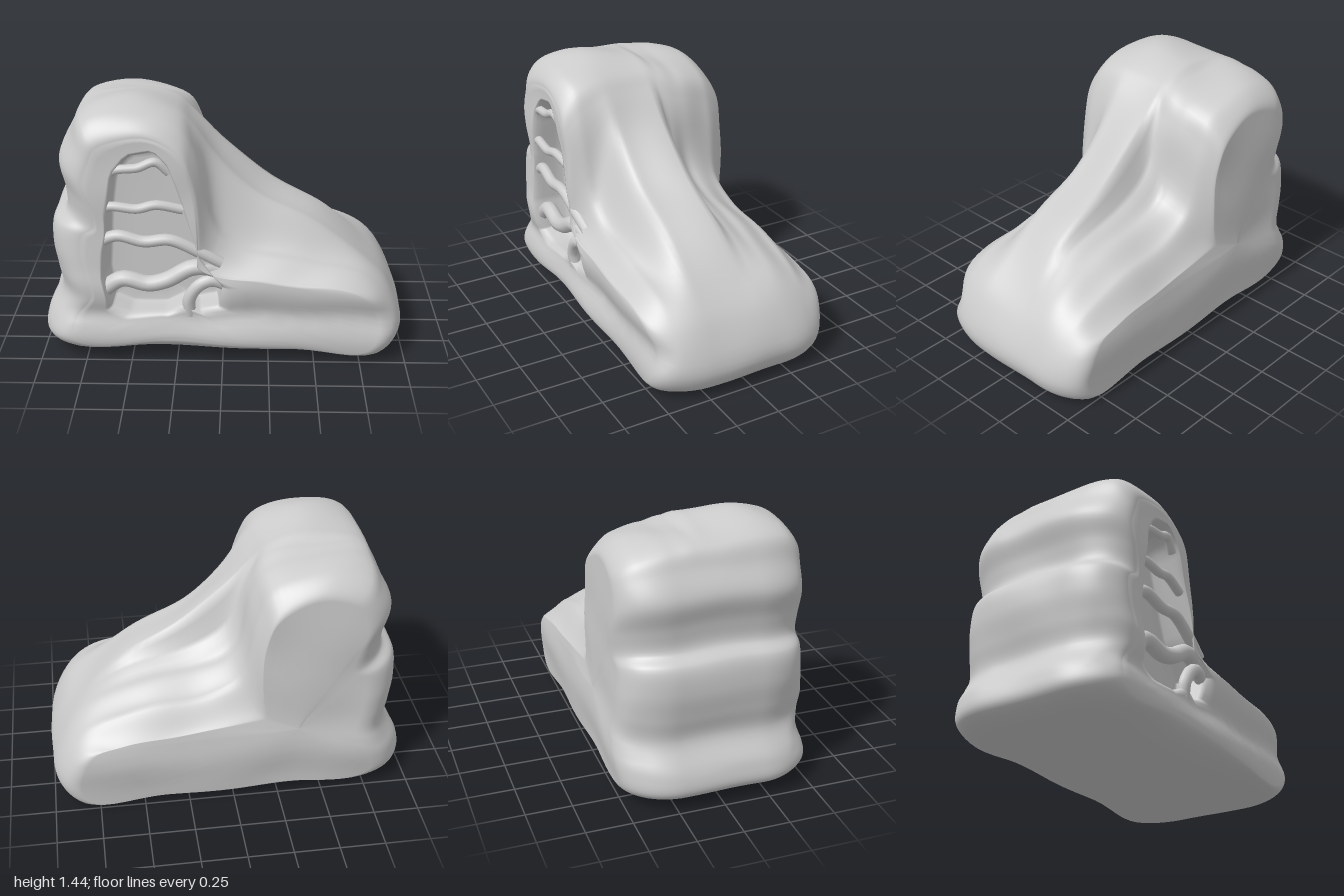
import * as THREE from 'three';

const grey = () => new THREE.MeshStandardMaterial({ color: 0xcccccc, side: THREE.DoubleSide });
const { lerp, smoothstep, clamp } = THREE.MathUtils;

// Side outline, counter-clockwise: sole, toe, (instep and collar go here), heel
const START = [[-0.88, 0.035], [-0.45, 0.03], [0, 0.015], [0.5, 0.025], [0.92, 0.02], [1.0, 0.15], [0.92, 0.37]];
const HEEL = [[-0.82, 1.25], [-0.88, 1.12], [-0.85, 0.97], [-0.85, 0.85], [-0.92, 0.79],
  [-0.94, 0.65], [-0.92, 0.5], [-0.9, 0.36], [-0.98, 0.21], [-0.99, 0.1]];

// Instep and collar points at stations across the width
const KEYS = [
  { z: -0.52, p: [[0.76, 0.41], [0.44, 0.45], [0.12, 0.5], [-0.06, 0.62], [-0.16, 1.08], [-0.24, 1.26], [-0.5, 1.35], [-0.75, 1.31]] },
  { z: -0.38, p: [[0.78, 0.5], [0.48, 0.59], [0.14, 0.65], [-0.04, 0.76], [-0.13, 1.12], [-0.21, 1.29], [-0.5, 1.37], [-0.76, 1.33]] },
  { z: -0.22, p: [[0.78, 0.53], [0.52, 0.65], [0.17, 0.71], [-0.03, 0.81], [-0.12, 1.15], [-0.21, 1.3], [-0.49, 1.37], [-0.76, 1.34]] },
  { z: -0.11, p: [[0.78, 0.53], [0.53, 0.69], [0.19, 0.77], [-0.01, 0.91], [-0.13, 1.19], [-0.22, 1.33], [-0.48, 1.38], [-0.76, 1.35]] },
  { z: -0.05, p: [[0.78, 0.53], [0.54, 0.74], [0.22, 0.92], [0.0, 1.11], [-0.16, 1.28], [-0.25, 1.36], [-0.47, 1.41], [-0.76, 1.35]] },
  { z: 0.22, p: [[0.78, 0.52], [0.53, 0.71], [0.2, 0.89], [-0.01, 1.08], [-0.16, 1.28], [-0.25, 1.37], [-0.47, 1.44], [-0.76, 1.37]] },
  { z: 0.4, p: [[0.77, 0.5], [0.47, 0.58], [0.17, 0.64], [0.0, 0.78], [-0.14, 1.2], [-0.23, 1.35], [-0.47, 1.43], [-0.76, 1.37]] },
  { z: 0.52, p: [[0.76, 0.44], [0.43, 0.48], [0.14, 0.53], [-0.01, 0.65], [-0.15, 1.14], [-0.23, 1.31], [-0.47, 1.41], [-0.76, 1.34]] },
];
const N = 150;
const CENTRE = [-0.35, 0.45];
const HALF = 0.5;

// Outline at depth z, with its rim rounded in towards the sides
function outline(z) {
  let k = 0;
  while (k < KEYS.length - 2 && z > KEYS[k + 1].z) k++;
  const a = KEYS[k], b = KEYS[k + 1], t = smoothstep(z, a.z, b.z);
  const mid = a.p.map((p, i) => [lerp(p[0], b.p[i][0], t), lerp(p[1], b.p[i][1], t)]);
  const curve = new THREE.CatmullRomCurve3(
    [...START, ...mid, ...HEEL].map(([x, y]) => new THREE.Vector3(x, y, 0)), true, 'centripetal');
  const r = 0.28, s = clamp((Math.abs(z) - HALF + r) / r, 0, 1);
  const inset = 1 - Math.sqrt(1 - s * s);
  const heel = z < 0 ? 0.23 : 0.2;
  const sole = z < 0 ? 0.05 : 0.12;
  return Array.from({ length: N }, (_, i) => {
    const p = curve.getPoint(i / N);
    const dx = p.x + 0.2, dy = p.y - 0.5, l = Math.hypot(dx, dy);
    p.x -= lerp(heel, 0.16, smoothstep(p.x, -0.6, -0.2)) * inset * dx / l;
    p.y -= inset * dy / l * (p.y < 0.3 ? sole : 0.13);
    p.z = z;
    return p;
  });
}

// Opening in the front face
const WINDOW = [[-0.61, 0.32], [-0.5, 0.28], [-0.3, 0.28], [-0.2, 0.33], [-0.14, 0.3], [-0.02, 0.33], [0.0, 0.46],
  [-0.12, 0.63], [-0.22, 0.93], [-0.29, 1.14], [-0.36, 1.22], [-0.5, 1.2], [-0.58, 1.09], [-0.61, 0.85], [-0.64, 0.5]];

// Point of the opening's edge in the direction of p from the centre
function onWindow(p) {
  const [cx, cy] = CENTRE, dx = p.x - cx, dy = p.y - cy;
  for (let i = 0; i < WINDOW.length; i++) {
    const a = WINDOW[i], b = WINDOW[(i + 1) % WINDOW.length];
    const ex = b[0] - a[0], ey = b[1] - a[1], det = dx * ey - dy * ex;
    const t = ((a[0] - cx) * ey - (a[1] - cy) * ex) / det;
    const u = ((a[0] - cx) * dy - (a[1] - cy) * dx) / det;
    if (t > 0 && u >= -1e-6 && u <= 1 + 1e-6) return new THREE.Vector3(cx + dx * t, cy + dy * t, 0);
  }
  return new THREE.Vector3(cx, cy, 0);
}

const bump = (y, at, width) => Math.exp(-(((y - at) / width) ** 2));

function bodyGeometry() {
  const centre = z => new THREE.Vector3(...CENTRE, z);
  const rings = [];
  // Back face, closed at its centre
  const back = outline(-HALF);
  for (const t of [0, 0.15, 0.3, 0.45, 0.6, 0.75, 0.88]) {
    rings.push(back.map(p => centre(-HALF - 0.008).lerp(p, t)));
  }
  // Shell across the width
  const steps = 64;
  for (let k = 0; k <= steps; k++) rings.push(outline(-HALF * Math.cos(Math.PI * k / steps)));
  // Front face, running in to the opening
  const front = rings[rings.length - 1];
  const edge = front.map(onWindow);
  for (const t of [0.1, 0.25, 0.4, 0.55, 0.7, 0.83, 0.93]) {
    rings.push(front.map((p, i) => p.clone().lerp(edge[i], t).setZ(HALF + 0.005)));
  }
  // Rounded lip, recess wall and recess floor
  for (const [s, z] of [[1, 0.48], [0.98, 0.45], [0.97, 0.38], [0.95, 0.33], [0.9, 0.32], [0.5, 0.32], [0, 0.32]]) {
    rings.push(edge.map(p => centre(0).lerp(p, s).setZ(z)));
  }
  // Hand-modelled waviness; sole and upper bulge at the front, the lower foot at the back
  const pos = [], index = [];
  for (const ring of rings) for (const p of ring) {
    const side = smoothstep(Math.abs(p.z), 0.38, 0.49) * Math.sign(p.z);
    const bulge = p.z > 0
      ? 0.012 * bump(p.y, 0.13, 0.07) - 0.022 * bump(p.y, 0.28, 0.06) + 0.018 * bump(p.y, 0.44, 0.09)
      : 0.026 * bump(p.y, 0.3, 0.16);
    const wave = 0.004 * Math.sin(9 * p.x + 7 * p.y) + 0.003 * Math.sin(17 * p.y - 6 * p.x);
    const lift = p.y > 0.2 ? 0.005 * Math.sin(13 * p.x + 11 * p.z) : 0;
    pos.push(p.x + 0.004 * Math.sin(12 * p.z + 8 * p.y), Math.max(0, p.y + lift), p.z + side * (bulge + wave));
  }
  for (let k = 0; k < rings.length - 1; k++) for (let i = 0; i < N; i++) {
    const j = (i + 1) % N, a = k * N + i, b = k * N + j;
    index.push(a, b, b + N, a, b + N, a + N);
  }
  const g = new THREE.BufferGeometry();
  g.setAttribute('position', new THREE.Float32BufferAttribute(pos, 3));
  g.setIndex(index);
  g.computeVertexNormals();
  return g;
}

// Laces crossing the opening: radius and path in the front plane
const LACES = [
  [0.024, [[-0.62, 1.05], [-0.57, 1.11], [-0.44, 1.13], [-0.35, 1.16], [-0.28, 1.1]]],
  [0.026, [[-0.66, 0.87], [-0.6, 0.91], [-0.45, 0.9], [-0.35, 0.92], [-0.21, 0.89]]],
  [0.032, [[-0.66, 0.7], [-0.56, 0.74], [-0.42, 0.71], [-0.28, 0.72], [-0.13, 0.65], [-0.01, 0.58]]],
  [0.045, [[-0.65, 0.41], [-0.54, 0.48], [-0.4, 0.455], [-0.3, 0.48], [-0.17, 0.55], [-0.08, 0.55], [0.01, 0.5]]],
  [0.035, [[-0.18, 0.27], [-0.18, 0.37], [-0.13, 0.45], [-0.06, 0.48], [0.02, 0.45]]],
];

export function createModel() {
  const model = new THREE.Group();
  model.name = 'laceUpBoot';

  const body = new THREE.Mesh(bodyGeometry(), grey());
  body.name = 'bootBody';
  model.add(body);

  const laces = new THREE.Group();
  laces.name = 'laces';
  for (const [radius, path] of LACES) {
    const points = path.map(([x, y], i) => {
      const bow = Math.sin(Math.PI * i / (path.length - 1));
      return new THREE.Vector3(x, y, 0.49 - radius + 0.02 * bow);
    });
    const lace = new THREE.Mesh(
      new THREE.TubeGeometry(new THREE.CatmullRomCurve3(points), 32, radius, 10), grey());
    lace.name = 'lace';
    laces.add(lace);
  }
  model.add(laces);
  return model;
}
